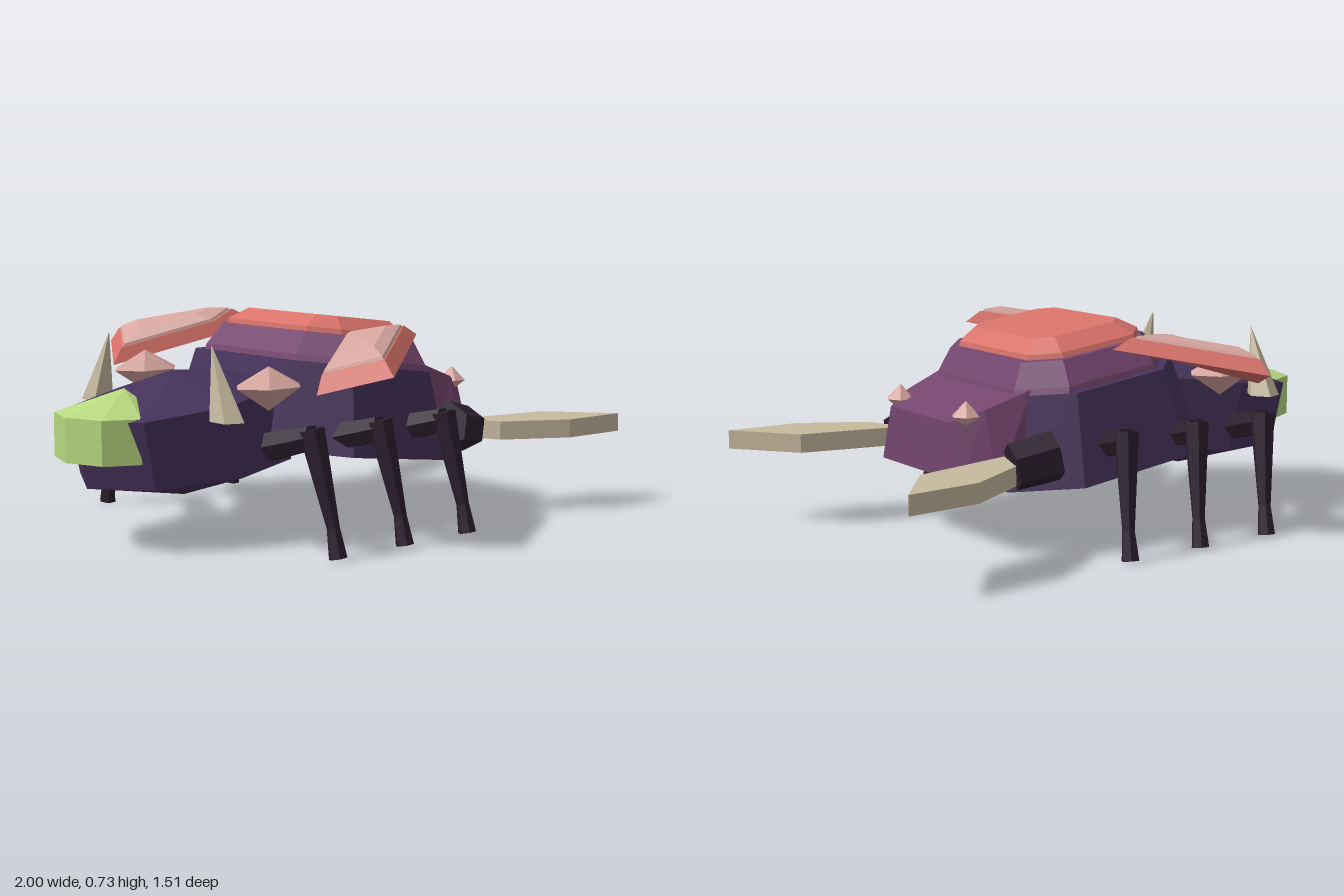
import * as THREE from 'three';

const mat = (name, color) => {
  const m = new THREE.MeshStandardMaterial({ color });
  m.name = name;
  return m;
};

// Faceted solid joining rings of equal length, closed at both ends
function loft(rings) {
  const pos = [];
  const V = (p) => new THREE.Vector3(...p);
  const tri = (a, b, c) => {
    const area = V(b).sub(V(a)).cross(V(c).sub(V(a))).length();
    if (area > 1e-7) pos.push([a, b, c]);
  };
  const n = rings[0].length;
  const mid = (r) => [0, 1, 2].map((k) => r.reduce((s, p) => s + p[k], 0) / n);
  const first = rings[0], last = rings[rings.length - 1];
  for (let i = 0; i < n; i++) {
    const j = (i + 1) % n;
    for (let r = 0; r < rings.length - 1; r++) {
      const a = rings[r], b = rings[r + 1];
      tri(a[i], a[j], b[j]);
      tri(a[i], b[j], b[i]);
    }
    tri(mid(first), first[j], first[i]);
    tri(mid(last), last[i], last[j]);
  }
  // Turn the faces outward when the rings wind the other way
  const volume = pos.reduce((s, [a, b, c]) => s + V(a).dot(V(b).cross(V(c))), 0);
  if (volume < 0) pos.forEach((t) => t.reverse());
  const g = new THREE.BufferGeometry();
  g.setAttribute('position', new THREE.Float32BufferAttribute(pos.flat(2), 3));
  g.computeVertexNormals();
  return g;
}

// Level or sloping oval ring
function oval(cx, y, cz, rx, rz, n, slope = 0) {
  return Array.from({ length: n }, (_, i) => {
    const a = (i / n) * Math.PI * 2;
    return [cx + rx * Math.cos(a), y + slope * rx * Math.cos(a), cz + rz * Math.sin(a)];
  });
}
const apex = (p, n) => Array.from({ length: n }, () => p);

// Rectangle with cut corners, dipping toward the head
function cutRect(x0, x1, z, y, c) {
  return [[x0 + c, z], [x1 - c, z], [x1, z - c], [x1, c - z],
    [x1 - c, -z], [x0 + c, -z], [x0, c - z], [x0, z - c]]
    .map(([x, w]) => [x, y - 0.13 * x, w]);
}

// Ring around the line between two points
function tubeRing(p, dir, r, n) {
  const d = new THREE.Vector3(...dir).normalize();
  const u = new THREE.Vector3(1, 0, 0).cross(d);
  if (u.length() < 0.5) u.set(0, 1, 0).cross(d);
  u.normalize();
  const v = d.clone().cross(u);
  return Array.from({ length: n }, (_, i) => {
    const a = ((i + 0.5) / n) * Math.PI * 2;
    return new THREE.Vector3(...p).addScaledVector(u, r * Math.cos(a))
      .addScaledVector(v, r * Math.sin(a)).toArray();
  });
}
function limb(a, b, ra, rb, n = 6) {
  const d = b.map((v, k) => v - a[k]);
  return loft([tubeRing(a, d, ra, n), tubeRing(b, d, rb, n)]);
}

export function createModel() {
  const body = mat('dark purple shell', 0x46325a);
  const plum = mat('plum shell', 0x75466f);
  const red = mat('coral plate', 0xd9736a);
  const pink = mat('pale pink', 0xd6a69f);
  const bone = mat('bone', 0xc6b99f);
  const green = mat('light green', 0xb8d880);
  const dark = mat('dark limb', 0x2c202f);

  const group = new THREE.Group();
  group.name = 'beetle';
  const add = (name, geo, m) => {
    const mesh = new THREE.Mesh(geo, m);
    mesh.name = name;
    group.add(mesh);
  };

  // Abdomen and tail
  add('abdomen', loft([
    apex([-0.53, 0.135, 0], 8),
    oval(-0.52, 0.23, 0, 0.4, 0.3, 8, 0.07),
    oval(-0.57, 0.47, 0, 0.4, 0.31, 8, 0.13),
    apex([-0.57, 0.56, 0], 8)]), body);
  add('tail', loft([
    apex([-0.82, 0.26, 0], 8),
    oval(-0.84, 0.295, 0, 0.16, 0.19, 8),
    oval(-0.84, 0.44, 0, 0.16, 0.19, 8),
    apex([-0.77, 0.515, 0], 8)]), green);

  // Stepped thorax
  add('thorax', loft([
    cutRect(-0.37, 0.43, 0.47, 0.255, 0.18),
    cutRect(-0.29, 0.39, 0.4, 0.555, 0.16)]), body);
  add('thoraxRim', loft([
    cutRect(-0.25, 0.38, 0.38, 0.54, 0.13),
    cutRect(-0.24, 0.37, 0.37, 0.575, 0.13),
    cutRect(-0.18, 0.33, 0.32, 0.655, 0.1)]), plum);
  add('backPlate', loft([
    cutRect(-0.17, 0.3, 0.305, 0.64, 0.09),
    cutRect(-0.165, 0.295, 0.29, 0.672, 0.08),
    cutRect(-0.095, 0.25, 0.23, 0.716, 0.05)]), red);

  // Head, narrowing toward the front
  const section = (x, y0, y1, zb, zt) => [[x, y0, zb], [x, y1, zt], [x, y1, -zt], [x, y0, -zb]];
  add('head', loft([
    section(0.33, 0.215, 0.53, 0.32, 0.28),
    section(0.49, 0.225, 0.475, 0.32, 0.25),
    section(0.59, 0.245, 0.435, 0.25, 0.19)]), plum);

  for (const s of [1, -1]) {
    const side = s > 0 ? 'right' : 'left';
    const at = (x, y, z) => [x, y, z * s];

    // Mandible blade and its joint
    const blade = [[0.465, 0.32], [0.52, 0.47], [0.745, 0.6], [1, 0.615], [0.83, 0.4]];
    add(side + 'Mandible', loft([0.265, 0.33].map((y) => blade.map(([x, z]) => at(x, y, z)))), bone);
    add(side + 'MandibleJoint', limb(at(0.32, 0.33, 0.4), at(0.46, 0.3, 0.36), 0.085, 0.08), dark);

    // Head stud and larger abdomen stud
    const stud = (name, x, y, z, rx, rz, up, down) => add(side + name, loft([
      apex(at(x, y - down, z), 6), oval(x, y, z * s, rx, rz, 6), apex(at(x, y + up, z), 6)]), pink);
    stud('HeadStud', 0.54, 0.455, 0.21, 0.05, 0.05, 0.05, 0.04);
    stud('AbdomenStud', -0.44, 0.525, 0.335, 0.13, 0.095, 0.065, 0.08);

    // Abdomen horn
    add(side + 'Horn', loft([
      oval(-0.625, 0.43, 0.355 * s, 0.055, 0.065, 5),
      apex(at(-0.63, 0.67, 0.28), 5)]), bone);

    // Raised wing case with a pale inset
    const base = [[-0.425, 0.515, 0.55], [-0.08, 0.63, 0.32], [0.12, 0.665, 0.445], [-0.29, 0.58, 0.757]];
    const centre = [-0.17, 0.5975, 0.518], normal = [-0.35, 0.93, -0.06];
    const level = (scale, h) => base.map((p) => at(
      ...p.map((v, k) => centre[k] + (v - centre[k]) * scale + normal[k] * h)));
    add(side + 'WingCase', loft([level(1, 0), level(0.82, 0.05)]), red);
    add(side + 'WingInset', loft([level(0.8, 0.045), level(0.76, 0.06), level(0.5, 0.082)]), pink);

    // Three legs with thigh, shin and foot
    [-0.405, -0.11, 0.185].forEach((x, i) => {
      const knee = at(x - 0.04, 0.385, 0.555);
      const ankle = at(x - 0.005, 0.1, 0.612);
      const name = side + 'Leg' + (i + 1);
      add(name + 'Thigh', limb(at(x - 0.07, 0.34, 0.39), knee, 0.052, 0.042), dark);
      add(name + 'Shin', limb(at(x - 0.042, 0.41, 0.55), ankle, 0.044, 0.022), dark);
      add(name + 'Foot', limb(ankle, at(x, 0.004, 0.63), 0.022, 0.031), dark);
    });
  }
  return group;
}
